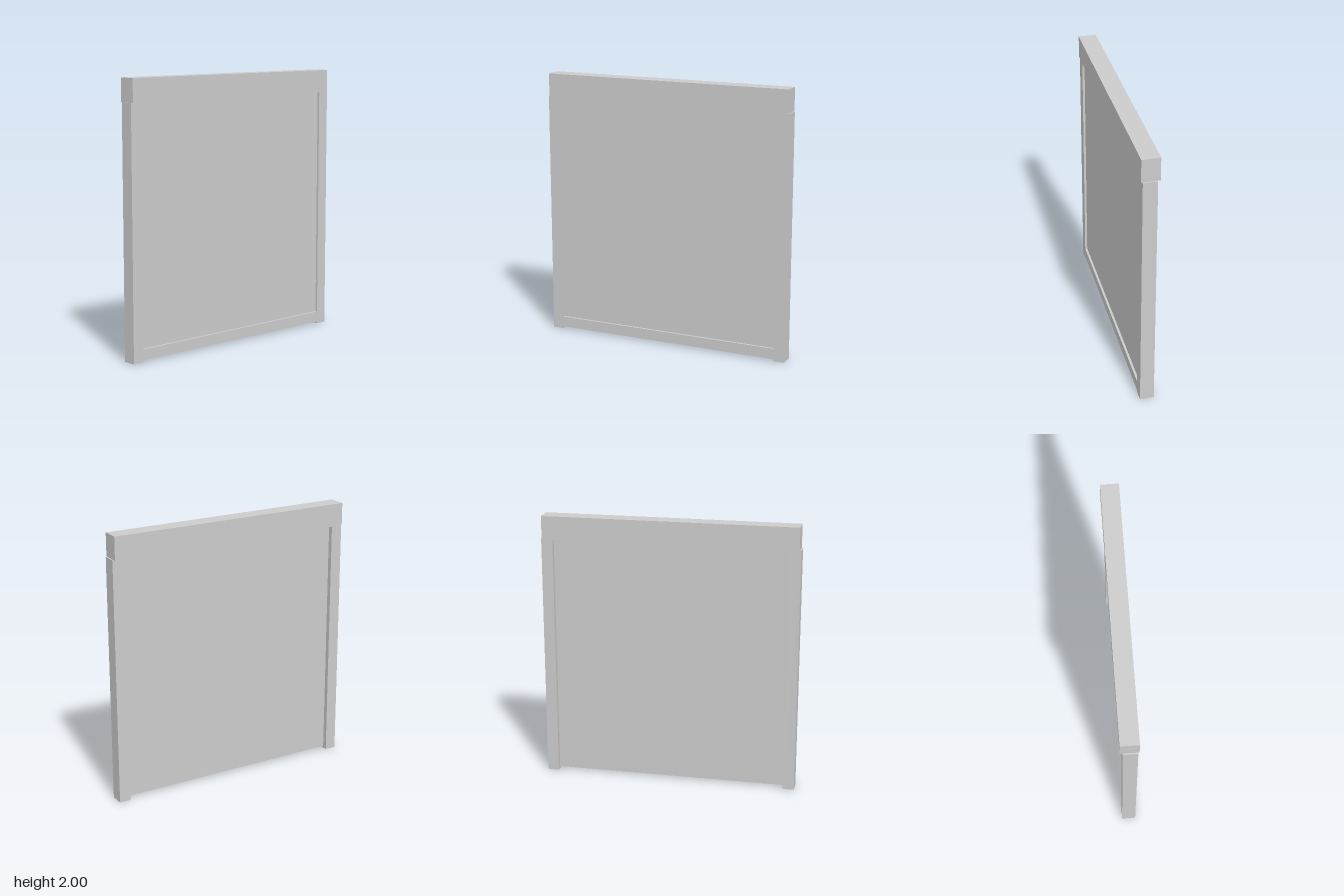
import * as THREE from 'three';

const material = new THREE.MeshStandardMaterial({ color: 0xcccccc, flatShading: true });

// Box given by its extents along each axis
function box(name, [x0, x1], [y0, y1], [z0, z1]) {
  const mesh = new THREE.Mesh(new THREE.BoxGeometry(x1 - x0, y1 - y0, z1 - z0), material);
  mesh.position.set((x0 + x1) / 2, (y0 + y1) / 2, (z0 + z1) / 2);
  mesh.name = name;
  return mesh;
}

export function createModel() {
  const group = new THREE.Group();
  group.name = 'rollerScreen';

  const outer = 0.955, inner = 0.87, railTop = 1.83;
  const front = 0.057, panelFront = 0.04, panelBack = -0.01, railBack = -0.046;

  // Housing across the top
  group.add(box('topHousing', [-0.945, 0.945], [railTop, 2], [-0.066, 0.066]));

  // Side guide rails, reaching the ground
  group.add(box('leftRail', [inner, outer], [0, railTop], [railBack, front]));
  group.add(box('rightRail', [-outer, -inner], [0, railTop], [railBack, front]));

  // Bottom bar, flush with the rails in front and the panel behind
  group.add(box('bottomBar', [-inner, inner], [0.015, 0.095], [panelBack, front]));

  // Recessed panel
  group.add(box('panel', [-inner, inner], [0.095, railTop], [panelBack, panelFront]));

  return group;
}
